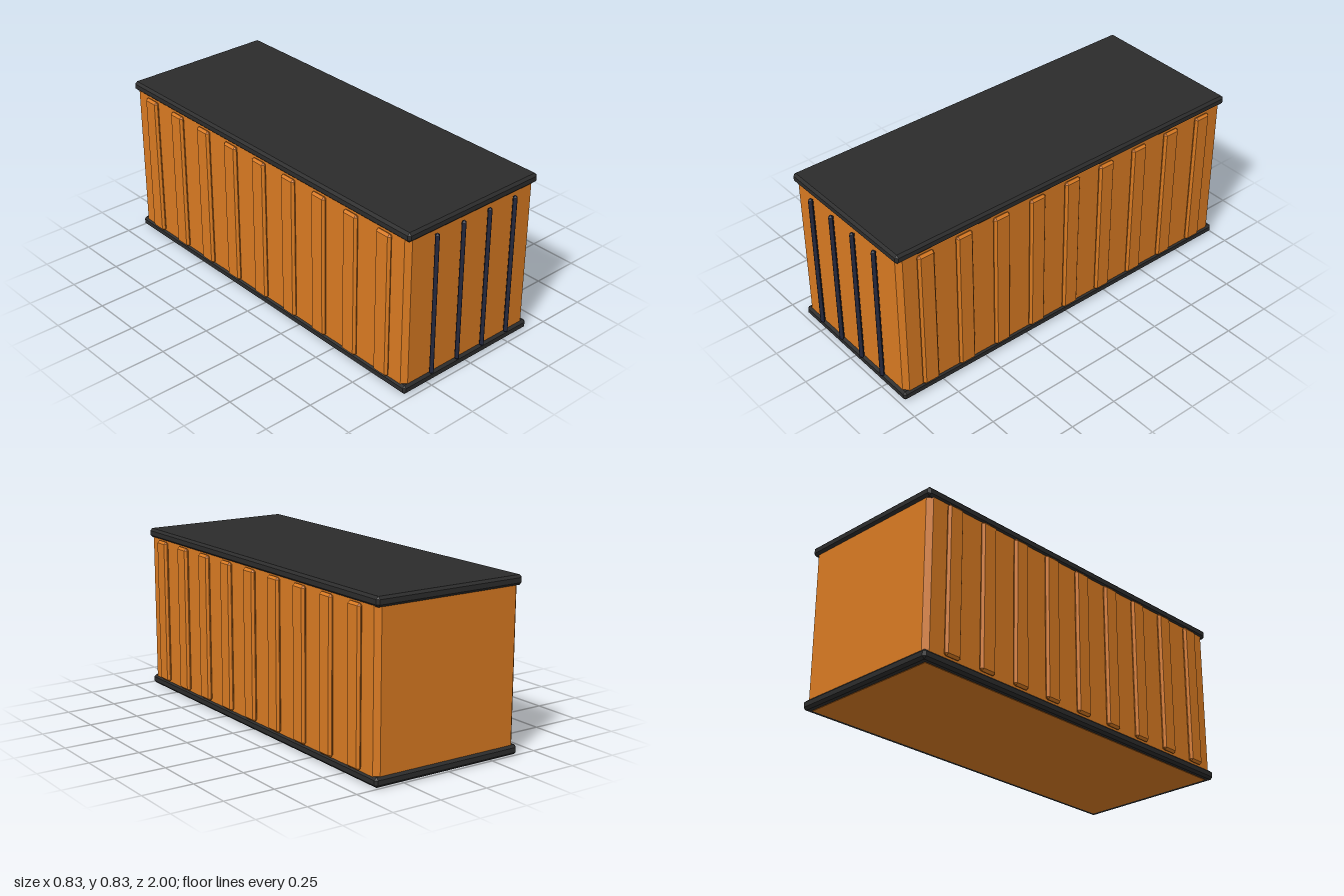
import * as THREE from 'three';
import { ConvexGeometry } from 'three/addons/geometries/ConvexGeometry.js';

// Box with every edge cut at 45 degrees by c
function chamferBox(w, h, d, c) {
  const points = [];
  for (const sx of [-1, 1]) for (const sy of [-1, 1]) for (const sz of [-1, 1]) {
    const x = w / 2, y = h / 2, z = d / 2;
    points.push(
      new THREE.Vector3(sx * x, sy * (y - c), sz * (z - c)),
      new THREE.Vector3(sx * (x - c), sy * y, sz * (z - c)),
      new THREE.Vector3(sx * (x - c), sy * (y - c), sz * z)
    );
  }
  return new ConvexGeometry(points);
}

function material(name, color) {
  const m = new THREE.MeshStandardMaterial({ color });
  m.name = name;
  return m;
}

export function createModel() {
  const group = new THREE.Group();
  group.name = 'shippingContainer';
  const orange = material('orange paint', 0xd97a22);
  const black = material('dark frame', 0x2c2c2c);
  const navy = material('navy bars', 0x24283c);

  const add = (name, geometry, mat, x, y, z) => {
    const mesh = new THREE.Mesh(geometry, mat);
    mesh.name = name;
    mesh.position.set(x, y, z);
    group.add(mesh);
  };
  const midZ = -0.011;

  // Body, its underside showing just below the bottom frame
  add('body', chamferBox(0.784, 0.833, 1.955, 0.023), orange, 0, 0.4165, midZ);

  // Roof and floor frames
  const frame = chamferBox(0.8, 0.047, 1.978, 0.012);
  add('topFrame', frame, black, 0, 0.8115, midZ);
  add('bottomFrame', frame, black, 0, 0.0255, midZ);

  // Raised ribs along both sides
  const rib = chamferBox(0.026, 0.738, 0.09, 0.011);
  for (const side of [-1, 1]) {
    for (let i = 0; i < 9; i++) {
      add(side > 0 ? 'leftRib' : 'rightRib', rib, orange, side * 0.402, 0.419, 0.829 - i * 0.209);
    }
  }

  // Upright locking bars on the front doors
  const bar = chamferBox(0.026, 0.734, 0.026, 0.012);
  for (const x of [-0.242, -0.081, 0.081, 0.242]) add('lockingBar', bar, navy, x, 0.419, 0.987);

  return group;
}
